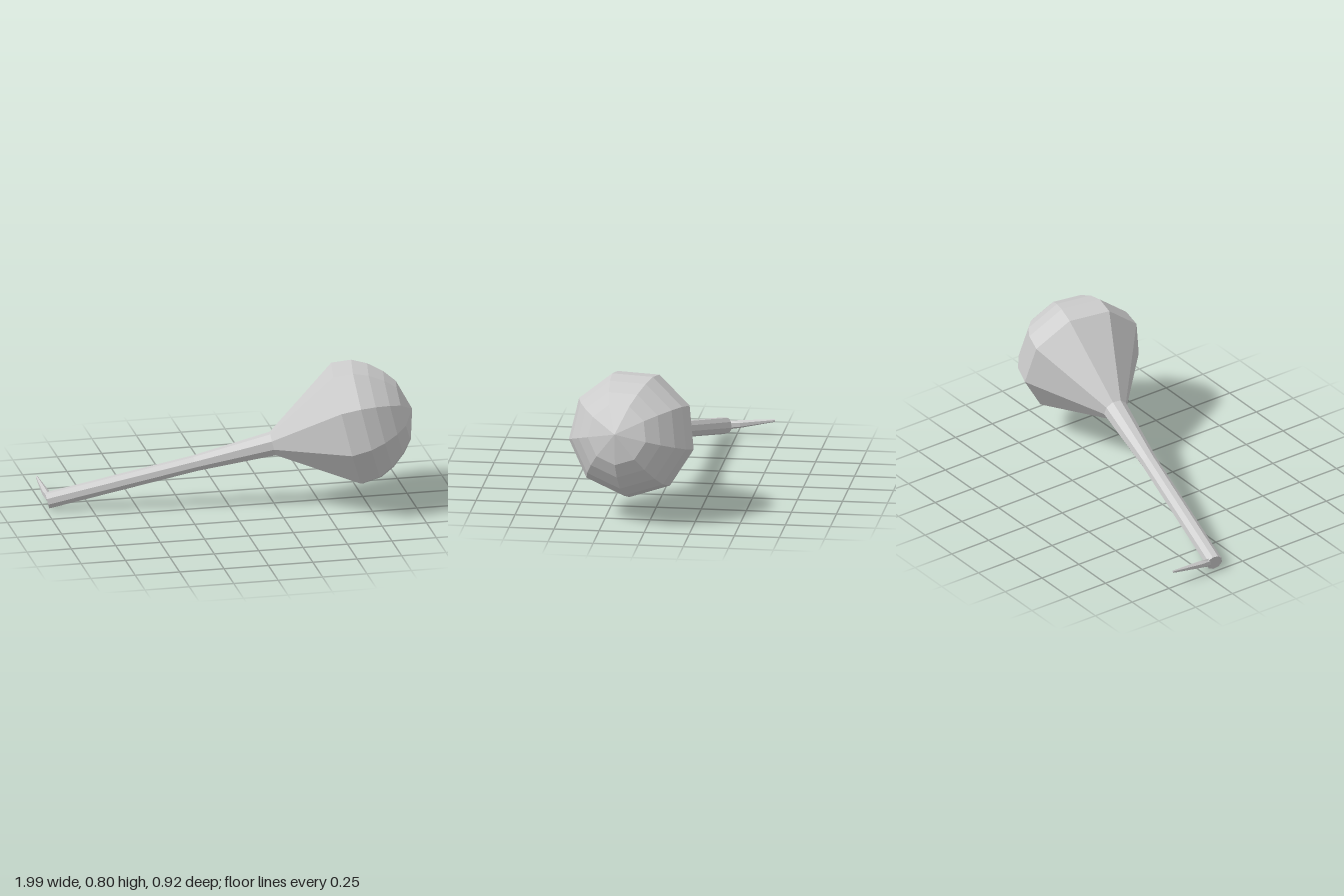
import * as THREE from 'three';

const material = new THREE.MeshStandardMaterial({ color: 0xcccccc, flatShading: true });

// Nine-sided body turned around a tilted axis; points are [radius, distance along the axis]
function turned(name, points, origin, axis) {
  const profile = points.map(([r, t]) => new THREE.Vector2(r, t));
  const mesh = new THREE.Mesh(new THREE.LatheGeometry(profile, 9), material);
  mesh.name = name;
  // A corner of the nine-sided section points straight down
  const down = new THREE.Vector3(0, -1, 0);
  down.addScaledVector(axis, -down.dot(axis)).normalize();
  const side = new THREE.Vector3().crossVectors(axis, down);
  mesh.quaternion.setFromRotationMatrix(new THREE.Matrix4().makeBasis(side, axis, down));
  mesh.position.copy(origin);
  return mesh;
}

// Tapered spike running backwards through rings of [x, y, z, halfWidth, halfHeight], tip first
function taperedSpike(rings) {
  const geometry = new THREE.CylinderGeometry(1, 1, 1, 6, rings.length - 1);
  const p = geometry.attributes.position;
  for (let i = 0; i < p.count; i++) {
    const [x, y, z, w, h] = rings[Math.round((0.5 - p.getY(i)) * (rings.length - 1))];
    p.setXYZ(i, x + w * p.getX(i), y + h * p.getZ(i), z);
  }
  geometry.computeVertexNormals();
  const mesh = new THREE.Mesh(geometry, material);
  mesh.name = 'spike';
  return mesh;
}

export function createModel() {
  const group = new THREE.Group();
  group.name = 'club';
  const origin = new THREE.Vector3(-0.985, 0.05, -0.18);
  const axis = new THREE.Vector3(1, 0.256, 0.175).normalize();

  // Slim handle with a closed end, widening towards the neck
  group.add(turned('handle', [[0, 0], [0.047, 0], [0.046, 0.84], [0.069, 1.28]], origin, axis));

  // Flared cone and rounded dome
  group.add(turned('head', [
    [0.069, 1.28], [0.354, 1.70], [0.343, 1.81], [0.303, 1.89],
    [0.24, 1.965], [0.17, 2.02], [0, 2.07],
  ], origin, axis));

  // Small spike at the handle's end
  group.add(taperedSpike([
    [-0.984, 0.09, -0.46, 0.006, 0.008],
    [-0.976, 0.065, -0.27, 0.021, 0.022],
    [-0.976, 0.057, -0.205, 0.011, 0.025],
  ]));
  return group;
}
